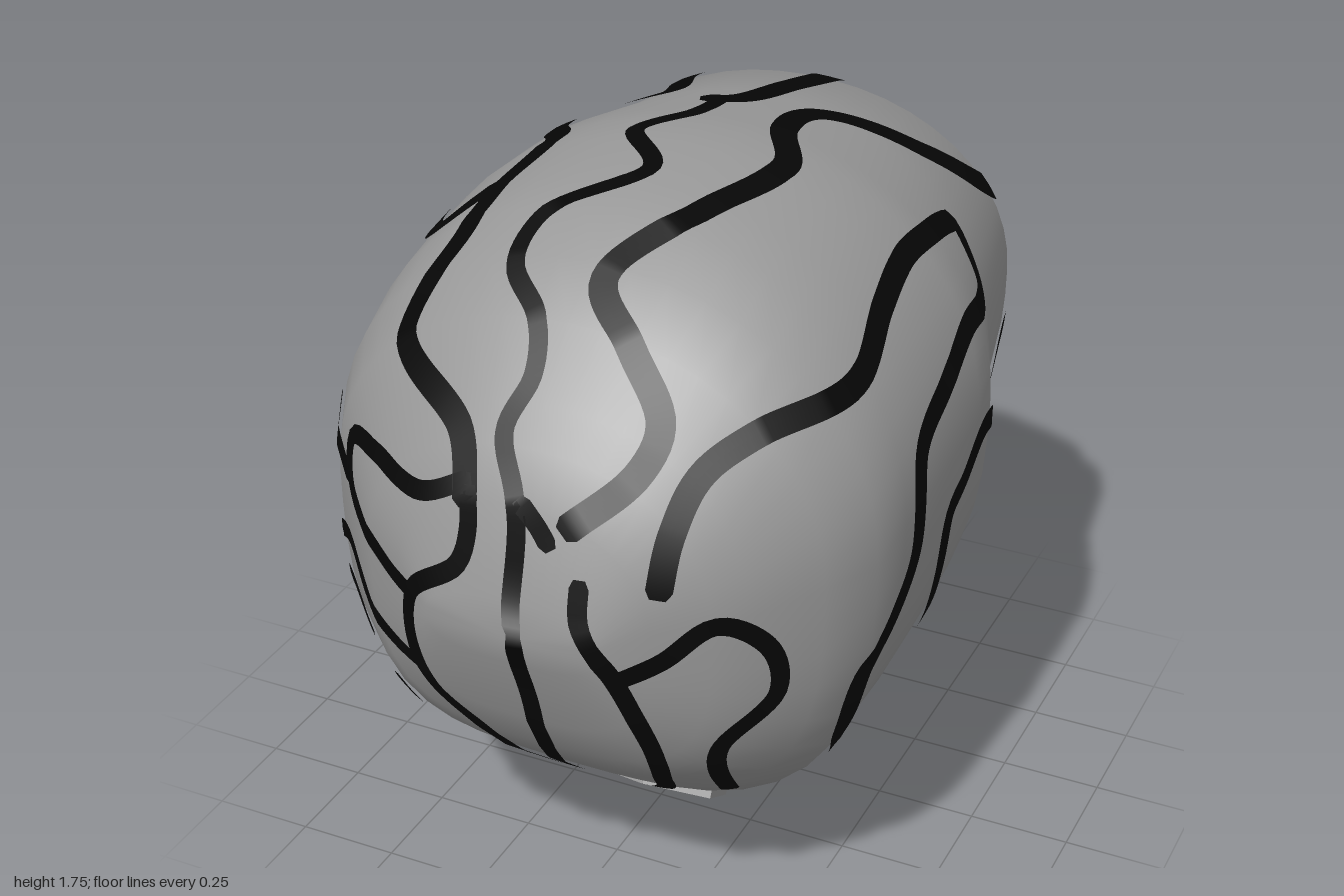
import * as THREE from 'three';
import { mergeVertices } from 'three/addons/utils/BufferGeometryUtils.js';

const V = (x, y, z) => new THREE.Vector3(x, y, z);
const tissue = new THREE.MeshStandardMaterial({ color: 0x989898 });
tissue.name = 'grey tissue';
const ink = new THREE.MeshStandardMaterial({ color: 0x060606 });
ink.name = 'black groove';

// Cross-sections from back to front: z, half width, top, bottom
const SECTIONS = [
  [-1, 0, 1, 1], [-0.965, 0.17, 1.235, 0.9], [-0.86, 0.36, 1.4, 0.86], [-0.76, 0.46, 1.525, 0.82],
  [-0.6, 0.56, 1.66, 0.69], [-0.34, 0.605, 1.7, 0.49], [-0.1, 0.7, 1.737, 0.385],
  [-0.02, 0.702, 1.743, 0.35], [0.12, 0.705, 1.75, 0.32], [0.3, 0.7, 1.725, 0.29],
  [0.42, 0.693, 1.7, 0.285], [0.55, 0.68, 1.635, 0.28], [0.68, 0.61, 1.55, 0.385],
  [0.8, 0.49, 1.41, 0.49], [0.86, 0.425, 1.33, 0.565], [0.93, 0.31, 1.23, 0.68],
  [0.985, 0.21, 1.02, 0.86], [1, 0, 0.93, 0.93],
];
const profile = new THREE.LinearInterpolant(
  SECTIONS.map((s) => s[0]), SECTIONS.flatMap((s) => s.slice(1)), 3);

// The widest line lies above the middle; the underside is squarer than the crown
function section(z) {
  const [w, top, bottom] = profile.evaluate(THREE.MathUtils.clamp(z, -1, 1));
  const c = bottom + 0.56 * (top - bottom);
  return { w, c, up: top - c, down: c - bottom };
}
const power = (above, z) => (above ? 2.1 : 2.6 + 0.7 * THREE.MathUtils.smoothstep(z, 0.5, 0.85));

// Below 1 inside the brain, above 1 outside
function field(p) {
  const { w, c, up, down } = section(p.z);
  const above = p.y > c, n = power(above, p.z);
  const out = Math.max(0, Math.abs(p.z) - 1) * 1000;
  return Math.abs(p.x / (w + 0.001)) ** n + Math.abs((p.y - c) / ((above ? up : down) + 0.001)) ** n + out;
}

const CORE = V(0, 0.97, 0);
function project(p) {
  const d = p.clone().sub(CORE).normalize();
  let lo = 0, hi = 1.4;
  for (let i = 0; i < 24; i++) {
    const mid = (lo + hi) / 2;
    if (field(CORE.clone().addScaledVector(d, mid)) < 1) lo = mid; else hi = mid;
  }
  return CORE.clone().addScaledVector(d, lo);
}

function normalAt(p) {
  const e = 0.008, n = V(0, 0, 0);
  for (const k of ['x', 'y', 'z']) {
    const a = p.clone(), b = p.clone();
    a[k] += e;
    b[k] -= e;
    if (k === 'z') { a.z = Math.min(a.z, 1); b.z = Math.max(b.z, -1); }
    n[k] = THREE.MathUtils.clamp((field(a) - field(b)) / Math.abs(a[k] - b[k]), -60, 60);
  }
  return n.normalize();
}

// Drawing planes: origin, right, up and outward direction
function slanted(azimuth, elevation) {
  const a = THREE.MathUtils.degToRad(azimuth), e = THREE.MathUtils.degToRad(elevation);
  const out = V(Math.sin(a) * Math.cos(e), Math.sin(e), Math.cos(a) * Math.cos(e));
  const right = V(Math.cos(a), 0, -Math.sin(a));
  return [V(0, 0.875, 0), right, out.clone().cross(right), out];
}
const X = V(1, 0, 0), Y = V(0, 1, 0), Z = V(0, 0, 1), ZERO = V(0, 0, 0);
const PLANES = {
  front: [ZERO, X, Y, Z],
  side: [ZERO, Z, Y, X],
  top: [ZERO, X, Z, Y],
  backLeft: slanted(215, 27),
  below: slanted(145, -27),
};

// Drop a drawn point onto the brain surface
function drop(plane, u, v) {
  const [o, r, up, out] = PLANES[plane];
  const base = o.clone().addScaledVector(r, u).addScaledVector(up, v);
  let best = base, low = Infinity;
  for (let t = 2.2; t > -1.2; t -= 0.01) {
    const p = base.clone().addScaledVector(out, t), f = field(p);
    if (f < low) { low = f; best = p; }
    if (f < 1) break;
  }
  return project(best);
}

// Thin ribbon following the surface; strokes are plane name, [u, v, u, v, ...] pairs
function groove(name, width, ...strokes) {
  const points = [];
  for (let s = 0; s < strokes.length; s += 2) {
    const q = strokes[s + 1];
    for (let i = 0; i < q.length; i += 2) points.push(drop(strokes[s], q[i], q[i + 1]));
  }
  const curve = new THREE.CatmullRomCurve3(points);
  const n = Math.ceil(curve.getLength() / 0.02);
  const path = curve.getSpacedPoints(n).map(project);
  const pos = [], nor = [], idx = [];
  path.forEach((p, i) => {
    const up = normalAt(p);
    const t = path[Math.min(i + 1, n)].clone().sub(path[Math.max(i - 1, 0)]);
    const across = up.clone().cross(t).normalize();
    const half = (i === 0 || i === n ? 0.3 : 0.5) * width;
    for (const s of [half, 0, -half]) {
      const q = project(p.clone().addScaledVector(across, s)).addScaledVector(up, 0.007);
      pos.push(q.x, q.y, q.z);
      nor.push(up.x, up.y, up.z);
    }
    if (i < n) {
      for (const a of [3 * i, 3 * i + 1]) idx.push(a + 1, a + 4, a, a, a + 4, a + 3);
    }
  });
  const g = new THREE.BufferGeometry();
  g.setAttribute('position', new THREE.Float32BufferAttribute(pos, 3));
  g.setAttribute('normal', new THREE.Float32BufferAttribute(nor, 3));
  g.setIndex(idx);
  const mesh = new THREE.Mesh(g, ink);
  mesh.name = name;
  return mesh;
}

// Sphere whose rings are moved onto the cross-sections
function buildBrain() {
  const columns = 48, rows = SECTIONS.length - 1;
  let g = new THREE.SphereGeometry(1, columns, rows).rotateX(Math.PI / 2);
  const p = g.attributes.position;
  for (let i = 0; i < p.count; i++) {
    const x = p.getX(i), y = p.getY(i);
    const z = SECTIONS[rows - Math.floor(i / (columns + 1))][0];
    const { w, c, up, down } = section(z);
    const n = power(y > 0, z);
    const k = Math.hypot(x, y) > 1e-5 ? (Math.abs(x) ** n + Math.abs(y) ** n) ** (-1 / n) : 0;
    p.setXYZ(i, w * x * k, c + (y > 0 ? up : down) * y * k, z);
  }
  g.deleteAttribute('uv');
  g.deleteAttribute('normal');
  g = mergeVertices(g, 1e-4);
  g.computeVertexNormals();
  const mesh = new THREE.Mesh(g, tissue);
  mesh.name = 'brain';
  return mesh;
}

export function createModel() {
  const model = new THREE.Group();
  model.name = 'brainModel';
  model.add(buildBrain());

  // Flattened six-sided stem leaning back into the brain
  const stemShape = new THREE.CylinderGeometry(0.19, 0.19, 0.5, 6).toNonIndexed();
  stemShape.scale(1, 1, 0.57).rotateX(-0.5).translate(0, 0.276, 0.14);
  stemShape.computeVertexNormals();
  const stem = new THREE.Mesh(stemShape, tissue);
  stem.name = 'brainStem';
  model.add(stem);

  const grooves = new THREE.Group();
  grooves.name = 'grooves';
  const B = 0.06, T = 0.045; // bold and thin strokes
  grooves.add(
    // Left side of the brain
    groove('outerLeftGroove', B, 'front', [0.32, 1.07, 0.33, 1.2, 0.36, 1.31, 0.44, 1.38],
      'side', [0.46, 1.42, 0.25, 1.51, 0.08, 1.55, -0.1, 1.54, -0.22, 1.51, -0.27, 1.49, -0.25, 1.43, -0.21, 1.36, -0.02, 1.36, 0.17, 1.3, 0.33, 1.22, 0.37, 0.98, 0.46, 0.86, 0.56, 0.76, 0.55, 0.58, 0.41, 0.41, 0.41, 0.3]),
    groove('lowerLeftGroove', B, 'side', [0.22, 0.4, 0.14, 0.47, 0.14, 0.63, 0.18, 0.82, 0.17, 0.98, 0.08, 1.03, -0.05, 1.1, -0.18, 1.07, -0.29, 0.99, -0.42, 0.99, -0.55, 1.09, -0.66, 1.06, -0.65, 0.94, -0.5, 0.89, -0.37, 0.82, -0.23, 0.71, -0.19, 0.58, -0.02, 0.44, 0.1, 0.34]),
    groove('upperLeftGroove', 0.065, 'front', [0.11, 1.19, 0.24, 1.31, 0.26, 1.4], 'top', [0.16, 0.69, 0.04, 0.58, 0.16, 0.35, 0.24, 0.08, 0.16, -0.1, 0.16, -0.27, 0.39, -0.45],
      'side', [-0.61, 1.43, -0.74, 1.38], 'backLeft', [-0.695, 0.13, -0.67, -0.08], 'below', [0.41, 0.43, 0.39, 0.27, 0.2, 0.18, 0.17, 0.05, 0.09, -0.08, 0.07, -0.18]),
    groove('frontLeftGroove', T, 'front', [0.16, 1.1, 0.17, 1, 0.24, 0.87, 0.29, 0.66, 0.28, 0.54, 0.24, 0.43, 0.13, 0.32]),
    groove('frontLeftBranch', T, 'front', [0.24, 0.87, 0.33, 0.92, 0.43, 1, 0.52, 0.92, 0.53, 0.8, 0.42, 0.66, 0.38, 0.43]),
    // Middle
    groove('middleBackGroove', 0.075, 'backLeft', [-0.33, -0.21, -0.47, -0.08, -0.55, 0.15], 'top', [0.13, -0.75, 0.08, -0.64, 0.03, -0.45, -0.02, -0.24, -0.1, -0.2]),
    groove('middleFrontGroove', T, 'top', [-0.05, -0.22, -0.05, -0.08, -0.13, 0.08, -0.01, 0.25, -0.18, 0.45], 'front', [-0.18, 1.6, -0.07, 1.54, -0.04, 1.45, -0.07, 1.35, 0, 1.22, 0.01, 0.98, 0.03, 0.75, -0.02, 0.32]),
    groove('middleFrontBranch', T, 'front', [0, 1.24, 0.05, 1.2, 0.09, 1.15]),
    // Right side of the brain
    groove('upperRightGroove', 0.065, 'backLeft', [-0.31, 0.05, -0.22, 0.13], 'top', [-0.26, -0.66, -0.3, -0.56, -0.24, -0.32, -0.37, -0.21, -0.4, -0.05, -0.34, 0.08, -0.37, 0.29, -0.37, 0.45],
      'front', [-0.4, 1.43, -0.18, 1.33, -0.12, 1.2]),
    groove('frontRightTrunk', T, 'front', [-0.12, 1.24, -0.11, 1.15, -0.13, 1.07, -0.25, 0.97, -0.26, 0.77, -0.14, 0.57, -0.03, 0.32]),
    groove('rightLoop', T, 'front', [-0.12, 1.25, -0.25, 1.19, -0.41, 1.2, -0.52, 1.18, -0.51, 1.08, -0.36, 0.99, -0.25, 0.96]),
    groove('rightLoopSpur', T, 'front', [-0.52, 1.08, -0.6, 1.13, -0.65, 1.18]),
    groove('rightCheekGroove', T, 'front', [-0.25, 0.76, -0.41, 0.8, -0.55, 0.91, -0.66, 0.82]),
    groove('rightCheekSpur', T, 'front', [-0.59, 0.78, -0.54, 0.77, -0.46, 0.7]),
    groove('frontRightGroove', T, 'front', [-0.4, 0.62, -0.34, 0.53, -0.27, 0.47, -0.13, 0.39, -0.04, 0.31]),
    groove('rightFrontBranch', B, 'backLeft', [0.47, 0.68, 0.53, 0.66, 0.62, 0.59, 0.58, 0.43, 0.69, 0.32, 0.76, 0.3]),
    groove('rightBackBranch', B, 'backLeft', [0.17, 0.53, 0.22, 0.45, 0.16, 0.32, 0.24, 0.25, 0.37, 0.24]),
    groove('rightLongGroove', T, 'backLeft', [-0.19, 0.15, -0.1, 0.12, -0.02, 0.13, 0.02, 0.16, 0.29, 0.19, 0.5, 0.25, 0.69, 0.27, 0.76, 0.37]),
    groove('rightLowerGroove', T, 'backLeft', [-0.25, 0.08, -0.23, -0.03, -0.15, -0.11, -0.13, -0.2, -0.06, -0.25, 0.07, -0.18, 0.29, -0.08, 0.52, 0, 0.61, 0.1, 0.73, 0.13, 0.79, 0.29]),
    groove('rightShortGroove', T, 'backLeft', [0.69, -0.08, 0.75, -0.03, 0.81, -0.04]),
    groove('rightBaseGroove', T, 'backLeft', [-0.2, -0.34, 0.02, -0.29, 0.4, -0.24, 0.58, -0.19]),
    groove('rightBaseHook', B, 'backLeft', [0, -0.37, 0.2, -0.33, 0.24, -0.36, 0.15, -0.43]),
    groove('rightBaseCurl', B, 'backLeft', [0.4, -0.38, 0.45, -0.3, 0.53, -0.33]),
    // Underside
    groove('undersideGroove', B, 'below', [0.76, 0.23, 0.57, 0.28, 0.43, 0.11, 0.33, -0.08, 0.19, -0.13, 0.17, -0.35, 0.05, -0.45]),
    groove('undersideOuterGroove', B, 'below', [0.54, -0.05, 0.38, -0.19, 0.3, -0.35, 0.12, -0.45]),
  );
  model.add(grooves);
  return model;
}
